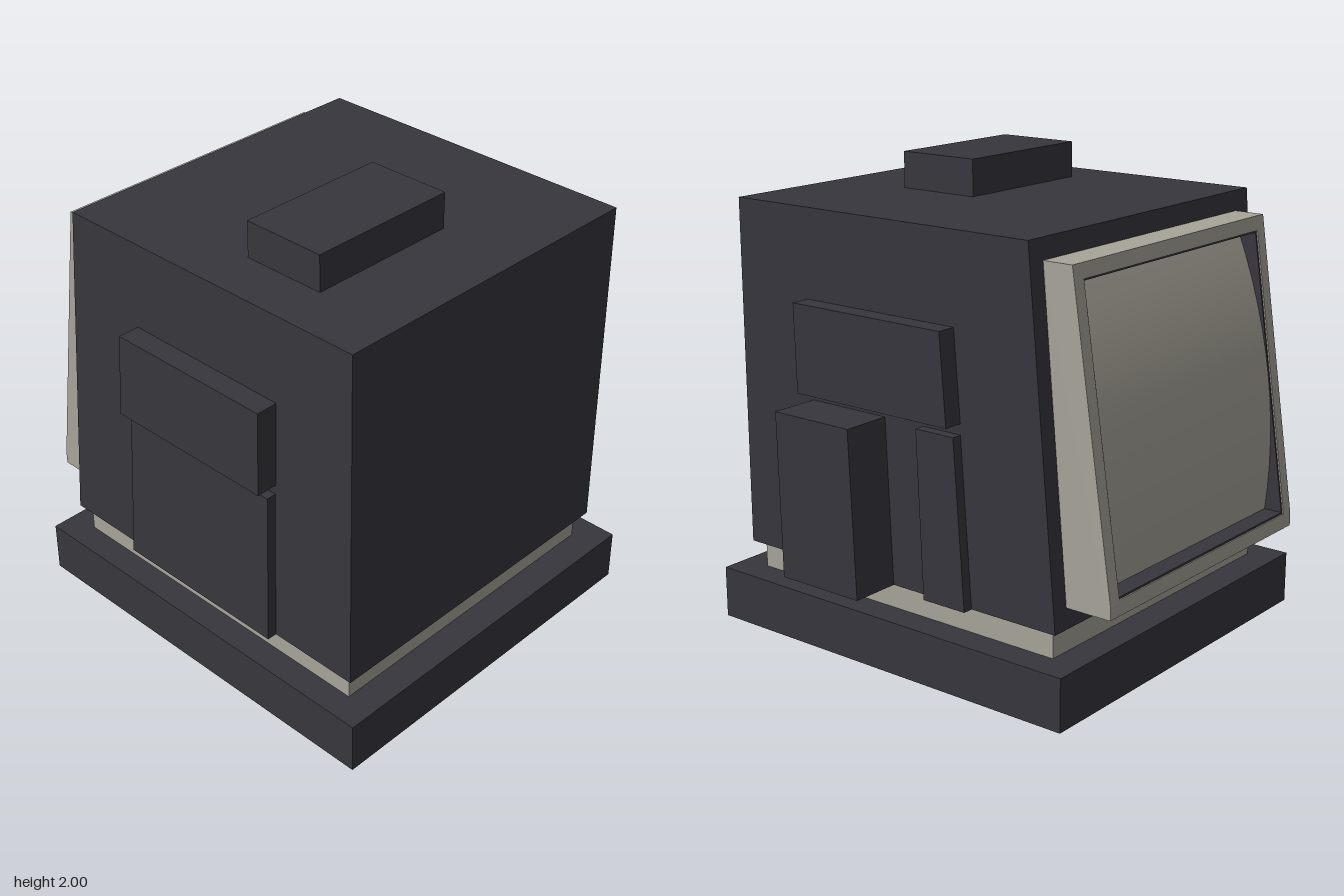
import * as THREE from 'three';

const dark = new THREE.MeshStandardMaterial({ color: 0x37363d });
dark.name = 'charcoal';
const beige = new THREE.MeshStandardMaterial({ color: 0xa7a499 });
beige.name = 'warm grey';

// Prism with an x-y outline (counter-clockwise) running from z0 to z1
function prism(name, material, points, z0, z1) {
  const shape = new THREE.Shape(points.map(([x, y]) => new THREE.Vector2(x, y)));
  const geometry = new THREE.ExtrudeGeometry(shape, { depth: z1 - z0, bevelEnabled: false });
  geometry.translate(0, 0, z0);
  const mesh = new THREE.Mesh(geometry, material);
  mesh.name = name;
  return mesh;
}

function box(name, material, x0, x1, y0, y1, z0, z1) {
  return prism(name, material, [[x0, y0], [x1, y0], [x1, y1], [x0, y1]], z0, z1);
}

// Sloping lines of the screen surround: outer face and the body face behind it
const faceX = (y) => (y < 0.485 ? -0.967 : -0.967 + (y - 0.485) * 0.1506);
const bodyX = (y) => -0.77 + (y - 0.345) * 0.09;

// Slice of the surround between two heights, inset from the outer face
function slice(name, material, y0, y1, z0, z1, inset = 0) {
  const points = [[faceX(y0) + inset, y0], [bodyX(y0) + 0.01, y0], [bodyX(y1) + 0.01, y1], [faceX(y1) + inset, y1]];
  if (y0 < 0.485 && y1 > 0.485) points.push([faceX(0.485) + inset, 0.485]);
  return prism(name, material, points, z0, z1);
}

function createScreen() {
  const screen = new THREE.Group();
  screen.name = 'screen';
  const bottom = 0.43, top = 1.76, low = 0.495, high = 1.70;
  const back = -0.61, front = 0.72, z0 = -0.55, z1 = 0.665;

  // Pale frame
  screen.add(
    slice('frameBackSide', beige, bottom, top, back, z0),
    slice('frameFrontSide', beige, bottom, top, z1, front),
    slice('frameBottom', beige, bottom, low, z0, z1),
    slice('frameTop', beige, high, top, z0, z1),
  );

  // Dark lining inside the opening
  const t = 0.008, inset = 0.006;
  screen.add(
    slice('liningBack', dark, low, high, z0, z0 + t, inset),
    slice('liningFront', dark, low, high, z1 - t, z1, inset),
    slice('liningBottom', dark, low, low + t, z0 + t, z1 - t, inset),
    slice('liningTop', dark, high - t, high, z0 + t, z1 - t, inset),
  );

  // Bulging glass, recessed at top and bottom
  const y0 = low + t, y1 = high - t;
  const glass = new THREE.PlaneGeometry(z1 - z0 - 2 * t, y1 - y0, 1, 12);
  glass.rotateY(-Math.PI / 2);
  glass.translate(0, (y0 + y1) / 2, (z0 + z1) / 2);
  const p = glass.attributes.position;
  for (let i = 0; i < p.count; i++) {
    const k = (p.getY(i) - y0) / (y1 - y0);
    p.setX(i, faceX(p.getY(i)) + 0.088 - 0.08 * 4 * k * (1 - k));
  }
  glass.computeVertexNormals();
  const mesh = new THREE.Mesh(glass, beige);
  mesh.name = 'screenGlass';
  screen.add(mesh);
  return screen;
}

export function createModel() {
  const model = new THREE.Group();
  model.name = 'arcadeTerminal';

  // Plinth, pale neck and main housing
  model.add(
    box('base', dark, -0.86, 0.96, 0, 0.225, -0.775, 0.895),
    box('neck', beige, -0.73, 0.83, 0.22, 0.35, -0.65, 0.78),
    prism('body', dark, [[-0.77, 0.345], [0.87, 0.345], [0.87, 1.845], [-0.635, 1.845]], -0.69, 0.815),
    box('topBox', dark, 0.12, 0.495, 1.84, 2, -0.09, 0.59),
  );

  // Tapered panels on the front and back
  const upper = [[-0.31, 1.095], [0.48, 1.095], [0.49, 1.47], [-0.28, 1.47]];
  const lower = [[-0.36, 0.345], [0.46, 0.345], [0.475, 1.05], [-0.31, 1.05]];
  model.add(
    prism('frontUpperPanel', dark, upper, 0.81, 0.91),
    prism('frontLowerPanel', dark, lower, 0.81, 0.858),
    prism('backUpperPanel', dark, upper, -0.775, -0.685),
    prism('backLowerPanel', dark, [[-0.36, 0.345], [-0.15, 0.345], [-0.12, 1.05], [-0.31, 1.05]], -0.735, -0.685),
    prism('backBox', dark, [[0.05, 0.345], [0.46, 0.345], [0.475, 1.05], [0.08, 1.05]], -0.907, -0.685),
  );

  model.add(createScreen());
  return model;
}
